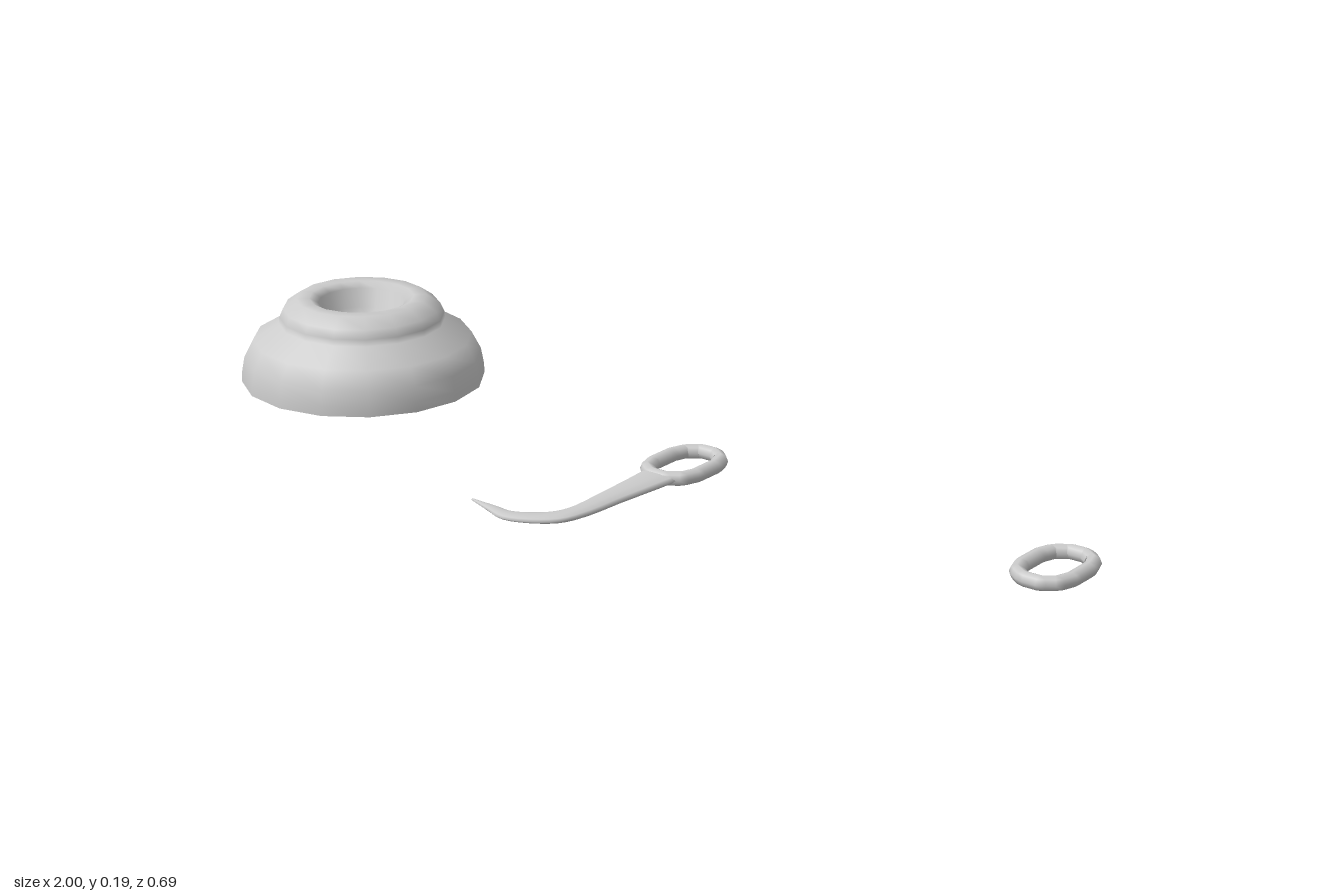
import * as THREE from 'three';

const material = new THREE.MeshStandardMaterial({ color: 0xcccccc, side: THREE.DoubleSide });

function addMesh(parent, name, geometry) {
  const mesh = new THREE.Mesh(geometry, material);
  mesh.name = name;
  parent.add(mesh);
  return mesh;
}

// Closed stadium-shaped loop lying flat in the xz plane
function linkGeometry() {
  const path = new THREE.CurvePath();
  const bend = 0.053, half = 0.031, steps = 5, points = [];
  for (const side of [1, -1]) {
    for (let i = 0; i <= steps; i++) {
      const a = (i / steps) * Math.PI;
      points.push(new THREE.Vector3(side * bend * Math.cos(a), 0, side * (half + bend * Math.sin(a))));
    }
  }
  points.forEach((p, i) => path.add(new THREE.LineCurve3(p, points[(i + 1) % points.length])));
  return new THREE.TubeGeometry(path, 48, 0.015, 8, true);
}

// Elliptical sections swept along a flat curve; each row is x, z, half width, half height
function taperedGeometry(rows, sides = 10, steps = 28) {
  const curve = new THREE.CatmullRomCurve3(rows.map(([x, z]) => new THREE.Vector3(x, 0, z)), false, 'centripetal');
  const positions = [], index = [];
  for (let i = 0; i <= steps; i++) {
    const t = i / steps, f = t * (rows.length - 1);
    const k = Math.min(Math.floor(f), rows.length - 2);
    const w = THREE.MathUtils.lerp(rows[k][2], rows[k + 1][2], f - k);
    const h = THREE.MathUtils.lerp(rows[k][3], rows[k + 1][3], f - k);
    const p = curve.getPoint(t), d = curve.getTangent(t);
    for (let j = 0; j < sides; j++) {
      const a = (j / sides) * Math.PI * 2, c = Math.cos(a) * w;
      positions.push(p.x + d.z * c, Math.sin(a) * h, p.z - d.x * c);
      if (i < steps) {
        const n = (j + 1) % sides, q = i * sides;
        index.push(q + j, q + n, q + sides + j, q + n, q + sides + n, q + sides + j);
      }
    }
  }
  // End caps
  const last = steps * sides;
  for (let j = 1; j < sides - 1; j++) {
    index.push(0, j + 1, j, last, last + j, last + j + 1);
  }
  const geometry = new THREE.BufferGeometry();
  geometry.setAttribute('position', new THREE.Float32BufferAttribute(positions, 3));
  geometry.setIndex(index);
  geometry.computeVertexNormals();
  return geometry;
}

export function createModel() {
  const model = new THREE.Group();

  // Hollow stepped dome, open below, with a round recess in its crown
  const profile = [
    [0.253, 0.015], [0.252, 0.035], [0.246, 0.068], [0.227, 0.105], [0.172, 0.138],
    [0.171, 0.152], [0.163, 0.17], [0.135, 0.19], [0.108, 0.19], [0.09, 0.18],
    [0.084, 0.14], [0.06, 0.118], [0, 0.112],
  ].map(([r, y]) => new THREE.Vector2(r, y));
  addMesh(model, 'dome', new THREE.LatheGeometry(profile, 16)).position.set(-0.747, 0, -0.093);

  // Hook with an eye at its end
  const hook = new THREE.Group();
  hook.name = 'hook';
  model.add(hook);
  addMesh(hook, 'hookEye', linkGeometry()).position.set(0.093, 0.015, -0.093);
  addMesh(hook, 'hookShank', taperedGeometry([
    [0.093, -0.018, 0.042, 0.011], [0.093, 0.03, 0.037, 0.011], [0.091, 0.13, 0.028, 0.01],
    [0.088, 0.23, 0.022, 0.009], [0.073, 0.275, 0.024, 0.008], [0.035, 0.308, 0.022, 0.007],
    [-0.005, 0.324, 0.019, 0.006], [-0.05, 0.315, 0.012, 0.005], [-0.11, 0.302, 0.002, 0.002],
  ])).position.y = 0.015;

  // Loose link
  addMesh(model, 'link', linkGeometry()).position.set(0.932, 0.015, -0.093);

  return model;
}
